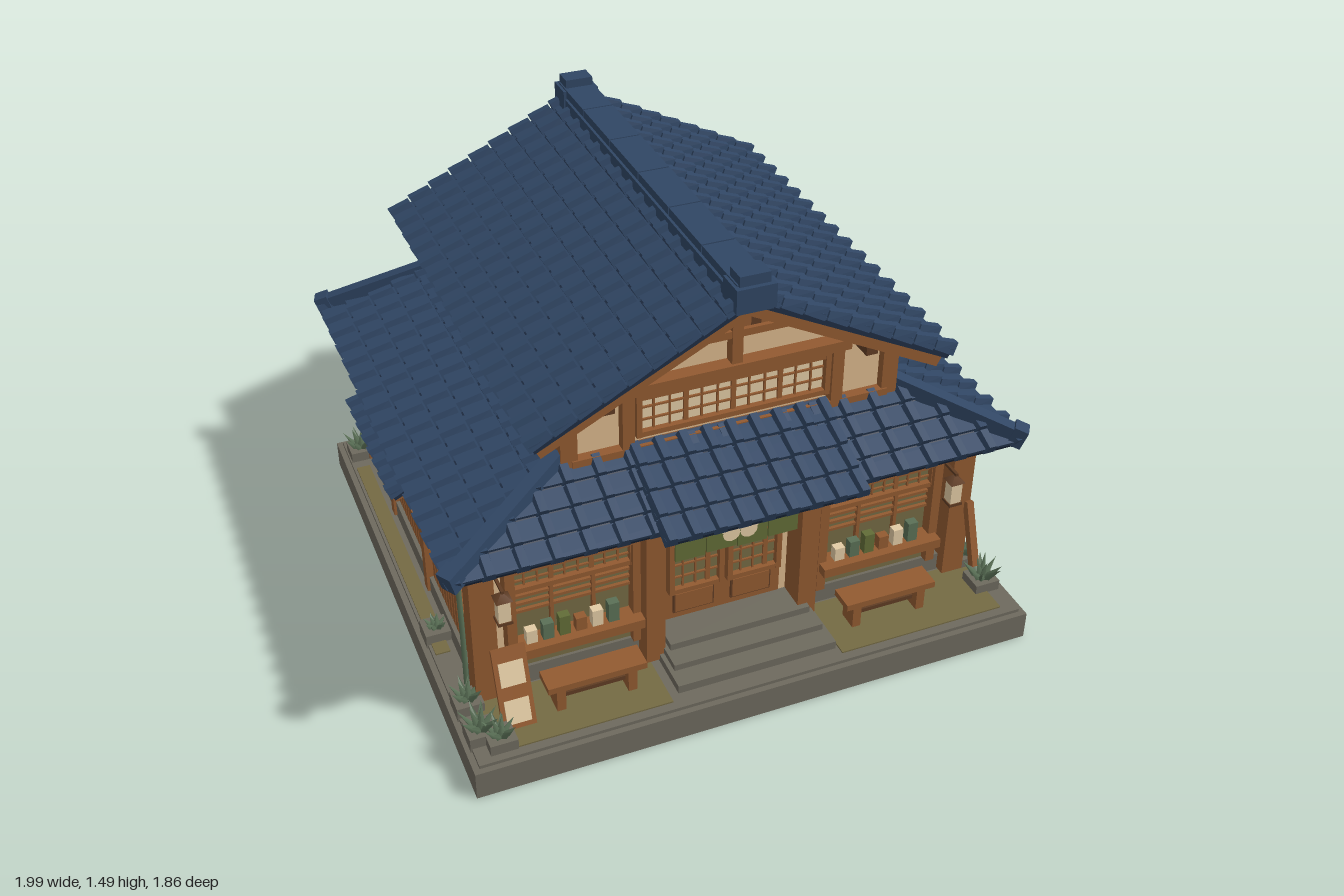
import * as THREE from 'three';
import { mergeGeometries } from 'three/addons/utils/BufferGeometryUtils.js';

const mat = (name, color) => Object.assign(new THREE.MeshStandardMaterial({ color }), { name });
const tile = mat('roof tile', 0x304664), shade = mat('tile shadow', 0x1e2c42), wood = mat('wood', 0x925a31),
  dark = mat('dark wood', 0x5f3c23), plaster = mat('plaster', 0xdab88c), paper = mat('paper', 0xe2cba4),
  stone = mat('stone', 0x6e6a5e), moss = mat('moss', 0x746a43), leaf = mat('leaf', 0x5a7056), cloth = mat('cloth', 0x626d37);

const V3 = (x, y, z) => new THREE.Vector3(x, y, z);

function add(g, name, m, geo) {
  const mesh = new THREE.Mesh(geo, m);
  mesh.name = name;
  g.add(mesh);
  return mesh;
}
// Box given by its limits
function box(g, name, m, x0, x1, y0, y1, z0, z1) {
  const mesh = add(g, name, m, new THREE.BoxGeometry(Math.abs(x1 - x0), Math.abs(y1 - y0), Math.abs(z1 - z0)));
  mesh.position.set((x0 + x1) / 2, (y0 + y1) / 2, (z0 + z1) / 2);
}
// Square beam between two points
function beam(g, name, m, a, b, w, h) {
  const mesh = add(g, name, m, new THREE.BoxGeometry(w, h, a.distanceTo(b)));
  mesh.position.copy(a).lerp(b, 0.5);
  mesh.quaternion.setFromRotationMatrix(new THREE.Matrix4().lookAt(b, a, V3(0, 1, 0)));
}
// Six-sided solid from four lower and four upper corners
function hex(b, t) {
  const quads = [t, [b[3], b[2], b[1], b[0]]];
  for (let i = 0; i < 4; i++) { const j = (i + 1) % 4; quads.push([b[i], b[j], t[j], t[i]]); }
  const pts = quads.flatMap(([p, q, r, s]) => [p, q, r, p, r, s]);
  const geo = new THREE.BufferGeometry().setFromPoints(pts);
  geo.computeVertexNormals();
  return geo;
}

// Tiled slope: eave starts at o, runs L along u, rises by v; in0 and in1 cut the ends for hips
function roof(parent, name, o, u, L, v, in0, in1, courses, gap = 0.106) {
  const g = new THREE.Group();
  g.name = name;
  parent.add(g);
  const n = u.clone().cross(v).normalize();
  const P = (s, t, h) => o.clone().addScaledVector(u, s).addScaledVector(v, t).addScaledVector(n, h);
  const slab = (t0, t1, b, hLow, hTop, e = 0) => {
    const c = [[in0 * t0 + e, t0], [L - in1 * t0 - e, t0], [L - in1 * t1 - e, t1], [in0 * t1 + e, t1]];
    return hex(c.map(([s, t]) => P(s, t, b)), c.map(([s, t], i) => P(s, t, i < 2 ? hLow : hTop)));
  };
  add(g, 'underlay', shade, slab(0.005, 1, -0.02, 0.002, 0.002, 0.004));
  add(g, 'soffit', wood, slab(0.03, 1, -0.035, -0.02, -0.02, 0.015));
  const parts = [], step = 1 / courses, len = v.length();
  for (let j = 0; j < courses; j++) parts.push(slab(j * step, (j + 1) * step - 0.006 / len, 0, 0.018, 0.006));
  // Cover tiles running down the slope, clipped at the hips
  const count = Math.max(2, Math.round(L / gap));
  for (let i = 0; i <= count; i++) {
    const s = 0.018 + (L - 0.036) * i / count;
    const top = Math.min(1, in0 > 0 ? s / in0 : 1, in1 > 0 ? (L - s) / in1 : 1);
    for (let j = 0; j < courses && j * step < top; j++) {
      const t0 = j * step - 0.006 / len, t1 = Math.min(top, (j + 1) * step - 0.012 / len);
      if (t1 - t0 < 0.02) continue;
      const ring = (w, h0, h1) => [P(s - w, t0, h0), P(s + w, t0, h0), P(s + w, t1, h1), P(s - w, t1, h1)];
      parts.push(hex(ring(0.021, -0.004, 0), ring(0.013, 0.04, 0.03)));
    }
  }
  add(g, 'tiles', tile, mergeGeometries(parts));
}

// Barred window on a wall lying in the local xy plane
function lattice(g, name, x0, x1, y0, y1, nx, ny, pane = paper, f = 0.018) {
  const w = new THREE.Group();
  w.name = name;
  g.add(w);
  box(w, 'pane', pane, x0, x1, y0, y1, 0.003, 0.012);
  for (const x of [x0, x1]) box(w, 'jamb', wood, x - f / 2, x + f / 2, y0 - f / 2, y1 + f / 2, 0, 0.035);
  for (const y of [y0, y1]) box(w, 'rail', wood, x0, x1, y - f / 2, y + f / 2, 0, 0.033);
  for (let i = 1; i < nx; i++) {
    const x = x0 + (x1 - x0) * i / nx, b = i % 3 ? 0.003 : 0.008;
    box(w, 'bar', wood, x - b, x + b, y0, y1, 0, 0.02);
  }
  for (let i = 1; i < ny; i++) {
    const y = y0 + (y1 - y0) * i / ny;
    box(w, 'cross bar', wood, x0, x1, y - 0.003, y + 0.003, 0, 0.019);
  }
}
function wainscot(g, x0, x1, y0, y1) {
  box(g, 'wainscot', dark, x0, x1, y0, y1, 0, 0.01);
  const n = Math.round(Math.abs(x1 - x0) / 0.035);
  for (let i = 0; i < n; i++) {
    const x = x0 + (x1 - x0) * (i + 0.5) / n;
    box(g, 'board', wood, x - 0.013, x + 0.013, y0, y1, 0, 0.016);
  }
  box(g, 'wainscot rail', wood, x0, x1, y1 - 0.01, y1 + 0.012, 0, 0.026);
}
function wallFace(parent, name, x, z, angle) {
  const g = new THREE.Group();
  g.name = name;
  g.position.set(x, 0, z);
  g.rotation.y = angle;
  parent.add(g);
  return g;
}
function plant(parent, x, z, size) {
  const g = new THREE.Group();
  g.name = 'plant';
  g.position.set(x, 0.13, z);
  for (let i = 0; i < 11; i++) {
    const c = new THREE.ConeGeometry(0.02, size * (0.8 + 0.3 * (i % 3) / 2), 4);
    c.translate(0, size * 0.42, 0).rotateX(i < 3 ? 0.25 : 0.7).rotateY(i * 2.4);
    add(g, 'leaf', leaf, c);
  }
  parent.add(g);
}

function gable(g) {
  // Local x is measured from the ridge
  for (const s of [-1, 1]) {
    box(g, 'corner post', wood, s * 0.52, s * 0.575, 0.82, 1.09, -0.03, 0.03);
    beam(g, 'barge board', wood, V3(s * 0.675, 1.01, 0.1), V3(0, 1.355, 0.1), 0.03, 0.05);
    beam(g, 'gable rafter', wood, V3(s * 0.5, 1.08, 0.015), V3(0, 1.335, 0.015), 0.03, 0.04);
    box(g, 'window post', wood, s * 0.335, s * 0.375, 0.86, 1.1, 0, 0.035);
    box(g, 'purlin end', dark, s * 0.42, s * 0.46, 1.07, 1.11, 0, 0.09);
  }
  box(g, 'tie beam', wood, -0.39, 0.39, 1.08, 1.115, 0, 0.05);
  box(g, 'sill beam', wood, -0.54, 0.54, 0.845, 0.885, 0, 0.035);
  box(g, 'collar beam', wood, -0.2, 0.2, 1.205, 1.23, 0, 0.035);
  box(g, 'king post', wood, -0.018, 0.018, 1.11, 1.36, 0, 0.04);
  for (let i = -5; i <= 5; i++) box(g, 'gable slat', i % 2 ? wood : dark, i * 0.034 - 0.017, i * 0.034 + 0.017, 1.22, 1.34 - Math.abs(i) * 0.017, 0, 0.02);
  lattice(g, 'upper window', -0.32, 0.32, 0.925, 1.06, 12, 3);
}

export function createModel() {
  const model = new THREE.Group();
  model.name = 'shop house';
  const cx = 0.04;

  // Ground and plinth
  box(model, 'base slab', stone, -0.97, 0.975, 0, 0.1, -0.91, 0.94);
  box(model, 'base top', stone, -0.95, 0.955, 0.1, 0.112, -0.89, 0.92);
  box(model, 'plinth', stone, -0.87, 0.87, 0.1, 0.18, -0.8, 0.63);
  for (const s of [-1, 1]) {
    box(model, 'front moss', moss, s * 0.3, s * 0.9, 0.112, 0.117, 0.64, 0.89);
    box(model, 'side moss', moss, s * 0.89, s * 0.94, 0.112, 0.117, -0.7, 0.4);
  }
  box(model, 'back moss', moss, -0.7, 0.5, 0.112, 0.117, -0.87, -0.82);
  [[0.1, 0.142, 0.86], [0.142, 0.165, 0.79], [0.165, 0.19, 0.72]].forEach(([a, b, z], i) => box(model, 'step', stone, -0.27 + i * 0.015, 0.29 - i * 0.015, a, b, 0.6, z));

  // Wall blocks
  box(model, 'lower walls', plaster, -0.84, 0.84, 0.16, 0.71, -0.77, 0.6);
  const five = new THREE.Shape([[-0.54, 0.72], [0.54, 0.72], [0.54, 1.09], [0, 1.355], [-0.54, 1.09]].map(p => new THREE.Vector2(...p)));
  add(model, 'upper walls', plaster, new THREE.ExtrudeGeometry(five, { depth: 1.28, bevelEnabled: false })).position.set(cx, 0, -0.755);
  gable(wallFace(model, 'front gable', cx, 0.525, 0));
  gable(wallFace(model, 'back gable', cx, -0.755, Math.PI));

  // Side walls
  for (const s of [-1, 1]) {
    const side = wallFace(model, 'side wall', s * 0.84, 0, s * Math.PI / 2);
    const r = (fn, a, b, ...rest) => fn(-s * (s > 0 ? a : b), -s * (s > 0 ? b : a), ...rest);
    for (const [z, w] of [[0.63, 0.075], [0.07, 0.04], [-0.38, 0.04], [-0.765, 0.06]])
      box(side, 'post', wood, -s * (z - w / 2), -s * (z + w / 2), 0.12, 0.7, -0.04, 0.04);
    box(side, 'top beam', wood, -s * 0.66, s * 0.78, 0.675, 0.705, 0, 0.035);
    r((a, b) => wainscot(side, a, b, 0.18, 0.365), 0.6, 0.09);
    r((a, b) => wainscot(side, a, b, 0.18, 0.295), 0.05, -0.36);
    r((a, b) => wainscot(side, a, b, 0.18, 0.365), -0.4, -0.74);
    r((a, b) => lattice(side, 'side window', a, b, 0.405, 0.56, 12, 4), 0.03, -0.36);
    box(side, 'window mullion', wood, s * 0.151, s * 0.179, 0.4, 0.56, 0, 0.03);
    box(side, 'shutter box', wood, -s * 0.18, -s * 0.09, 0.445, 0.565, 0, 0.06);
    const awning = s > 0 ? V3(0.97, 0.565, 0.11) : V3(-0.97, 0.565, -0.46);
    roof(model, 'awning', awning, V3(0, 0, -s), 0.57, V3(-s * 0.13, 0.06, 0), 0, 0, 2, 0.08);
    for (const z of [0.07, -0.42]) beam(model, 'awning bracket', wood, V3(s * 0.85, 0.5, z), V3(s * 0.94, 0.56, z), 0.02, 0.02);

    const up = wallFace(model, 'upper side wall', cx + s * 0.54, 0, s * Math.PI / 2);
    for (const z of [0.35, 0.07, -0.16, -0.37, -0.62]) box(up, 'upper post', wood, -s * z - 0.018, -s * z + 0.018, 0.82, 1.1, 0, 0.025);
    box(up, 'upper beam', wood, -s * 0.54, s * 0.77, 1.005, 1.04, 0, 0.03);
    box(up, 'lower beam', wood, -s * 0.54, s * 0.77, 0.84, 0.88, 0, 0.025);
    r((a, b) => lattice(up, 'small window', a, b, 0.9, 0.995, 6, 3), 0.32, 0.1);
    r((a, b) => lattice(up, 'small window', a, b, 0.9, 0.995, 6, 3), -0.395, -0.595);
  }

  // Back wall
  const back = wallFace(model, 'back wall', 0, -0.77, Math.PI);
  for (const x of [-0.82, -0.28, 0.28, 0.82]) box(back, 'back post', wood, x - 0.022, x + 0.022, 0.12, 0.7, 0, 0.035);
  for (const x of [-0.8, -0.26, 0.3]) wainscot(back, x, x + 0.5, 0.18, 0.345);
  box(back, 'back beam', wood, -0.84, 0.84, 0.67, 0.705, 0, 0.035);

  // Shop front
  const front = wallFace(model, 'shop front', 0, 0.6, 0);
  const pipe = (name, pts) => add(model, name, leaf, new THREE.TubeGeometry(new THREE.CatmullRomCurve3(pts), 16, 0.009, 6));
  box(front, 'front beam', wood, -0.87, 0.87, 0.67, 0.705, 0, 0.075);
  for (const s of [-1, 1]) {
    const c = s * 0.54 + 0.005;
    box(front, 'porch post', wood, s * 0.27 - 0.045, s * 0.27 + 0.02, 0.12, 0.7, 0, 0.1);
    box(front, 'shop back', moss, c - 0.2, c + 0.2, 0.29, 0.5, 0.002, 0.008);
    lattice(front, 'shop transom', c - 0.2, c + 0.2, 0.5, 0.585, 9, 3, moss);
    for (const x of [-0.21, 0.21]) box(front, 'shop jamb', wood, c + x - 0.016, c + x + 0.016, 0.18, 0.66, 0, 0.05);
    for (const y of [0.4, 0.43, 0.46]) box(front, 'shop slat', wood, c - 0.2, c + 0.2, y, y + 0.01, 0, 0.02);
    for (const x of [-0.07, 0.07]) box(front, 'shop mullion', wood, c + x - 0.006, c + x + 0.006, 0.3, 0.5, 0, 0.025);
    box(front, 'lintel', wood, c - 0.22, c + 0.22, 0.585, 0.61, 0, 0.05);
    box(front, 'counter', wood, c - 0.22, c + 0.22, 0.265, 0.3, 0, 0.09);
    box(front, 'panel below counter', moss, c - 0.2, c + 0.2, 0.18, 0.265, 0, 0.02);
    for (let i = 0; i < 6; i++) {
      const x = c - 0.15 + i * 0.055;
      box(front, 'goods', [paper, leaf, cloth, wood][i % 4], x - 0.018, x + 0.018, 0.3, 0.35 + 0.012 * (i % 3), 0.03, 0.06);
    }
    // Bench
    const bench = wallFace(model, 'bench', s * 0.52, 0.76, 0);
    box(bench, 'bench seat', wood, -0.165, 0.165, 0.205, 0.228, -0.045, 0.045);
    for (const x of [-0.12, 0.12]) box(bench, 'bench leg', wood, x - 0.015, x + 0.015, 0.11, 0.205, -0.035, 0.035);
    box(bench, 'bench rail', dark, -0.12, 0.12, 0.145, 0.16, -0.008, 0.008);
    // Lantern
    const lamp = wallFace(model, 'lantern', s * 0.785, 0.7, 0);
    box(lamp, 'lantern body', paper, -0.02, 0.02, 0.47, 0.55, -0.02, 0.02);
    box(lamp, 'lantern base', dark, -0.024, 0.024, 0.46, 0.47, -0.024, 0.024);
    add(lamp, 'lantern cap', dark, new THREE.ConeGeometry(0.038, 0.028, 4).rotateY(Math.PI / 4)).position.y = 0.564;
    box(lamp, 'lantern arm', dark, -0.005, 0.005, 0.575, 0.585, -0.08, 0.01);
    pipe('lower drain', [V3(s * 0.93, 0.69, 0.7), V3(s * 0.92, 0.65, 0.67), V3(s * 0.885, 0.63, 0.6), V3(s * 0.885, 0.58, 0.57), V3(s * 0.885, 0.35, 0.57), V3(s * 0.885, 0.12, 0.57)]);
  }
  pipe('upper drain', [V3(0.68, 1.03, 0.45), V3(0.68, 0.98, 0.45), V3(0.625, 0.96, 0.45), V3(0.61, 0.87, 0.45)]);

  // Door and curtain
  box(front, 'door panel', wood, -0.22, 0.2, 0.19, 0.66, -0.01, 0.002);
  for (const x of [-0.21, -0.005]) {
    lattice(front, 'door lattice', x + 0.01, x + 0.185, 0.325, 0.52, 4, 4, moss);
    box(front, 'door lower panel', dark, x + 0.025, x + 0.17, 0.215, 0.3, 0.001, 0.008);
    box(front, 'door inset', wood, x + 0.031, x + 0.164, 0.221, 0.294, 0.004, 0.012);
  }
  for (let i = 0; i < 4; i++) box(front, 'curtain flap', cloth, -0.22 + i * 0.107, -0.117 + i * 0.107, 0.52 + (i % 2) * 0.006, 0.66, 0.1, 0.107);
  box(front, 'curtain top', cloth, -0.22, 0.205, 0.6, 0.675, 0.099, 0.108);
  for (let i = 0; i < 4; i++) {
    const petal = add(front, 'curtain blossom', paper, new THREE.CircleGeometry(i < 2 ? 0.038 : 0.03, 12));
    petal.position.set((i % 2 ? 0.03 : -0.03), i < 2 ? 0.61 : 0.58, 0.1095 + i * 0.0003);
  }
  // Leaning notice board
  beam(model, 'notice board', wood, V3(-0.785, 0.115, 0.81), V3(-0.785, 0.37, 0.72), 0.11, 0.015);
  for (const y of [0.17, 0.29]) beam(model, 'notice sheet', paper, V3(-0.785, y - 0.035, 0.819 - (y - 0.15) * 0.353), V3(-0.785, y + 0.04, 0.819 - (y - 0.075) * 0.353), 0.08, 0.008);
  beam(model, 'side brace', wood, V3(0.87, 0.2, 0.75), V3(0.87, 0.42, 0.67), 0.025, 0.03);

  // Lower skirt roof, all four slopes
  const X = 0.965, y = 0.715, zf = 0.785, zb = -0.89, iL = -0.53, iR = 0.605, iF = 0.52, iB = -0.76, rise = 0.155;
  const D = zf - zb;
  roof(model, 'front skirt roof', V3(-X, y, zf), V3(1, 0, 0), 2 * X, V3(0, rise, iF - zf), iL + X, X - iR, 4);
  roof(model, 'back skirt roof', V3(X, y, zb), V3(-1, 0, 0), 2 * X, V3(0, rise, iB - zb), X - iR, iL + X, 3);
  roof(model, 'right skirt roof', V3(X, y, zf), V3(0, 0, -1), D, V3(iR - X, rise, 0), zf - iF, iB - zb, 5);
  roof(model, 'left skirt roof', V3(-X, y, zb), V3(0, 0, 1), D, V3(iL + X, rise, 0), iB - zb, zf - iF, 5);
  for (const [x, ix] of [[-X, iL], [X, iR]]) for (const [z, iz] of [[zf, iF], [zb, iB]]) {
    const a = V3(x, y + 0.025, z), b = V3(ix, y + rise + 0.025, iz);
    beam(model, 'hip ridge', tile, a, b, 0.045, 0.05);
    beam(model, 'hip end', tile, a.clone().lerp(b, -0.02), a.clone().lerp(b, 0.08), 0.055, 0.07);
  }
  roof(model, 'entrance canopy', V3(-0.315, 0.73, 0.855), V3(1, 0, 0), 0.68, V3(0, 0.155, -0.325), 0, 0, 4, 0.085);
  for (let i = 0; i < 14; i++) box(model, 'eave rafter', wood, -0.8 + i * 0.123, -0.775 + i * 0.123, 0.675, 0.7, 0.6, 0.74);

  // Upper roof and ridge
  const zA = 0.665, zB = -0.905;
  roof(model, 'right main roof', V3(cx + 0.7, 1.04, zA), V3(0, 0, -1), zA - zB, V3(-0.7, 0.355, 0), 0, 0, 9);
  roof(model, 'left main roof', V3(cx - 0.7, 1.04, zB), V3(0, 0, 1), zA - zB, V3(0.7, 0.355, 0), 0, 0, 9);
  box(model, 'ridge base', tile, cx - 0.06, cx + 0.06, 1.36, 1.42, zB - 0.01, zA + 0.01);
  box(model, 'ridge line', shade, cx - 0.05, cx + 0.05, 1.415, 1.428, zB, zA);
  for (let i = 0; i < 6; i++) {
    const d = (zA - zB) / 6;
    box(model, 'ridge cap', tile, cx - 0.055, cx + 0.055, 1.426, 1.455, zB + i * d + 0.003, zB + (i + 1) * d - 0.003);
  }
  for (const z of [0.635, -0.87]) {
    box(model, 'ridge end', tile, cx - 0.065, cx + 0.065, 1.37, 1.45, z - 0.05, z + 0.05);
    box(model, 'ridge end cap', tile, cx - 0.05, cx + 0.05, 1.45, 1.485, z - 0.035, z + 0.035);
  }

  // Planting and edging stones
  for (const [x, z, s] of [[-0.91, 0.8, 0.12], [-0.86, 0.85, 0.1], [-0.91, 0.66, 0.1], [0.9, 0.76, 0.12], [0.9, 0.62, 0.1], [0.91, 0.5, 0.1],
    [0.9, -0.76, 0.11], [0.88, -0.82, 0.1], [-0.9, -0.79, 0.11], [-0.4, -0.85, 0.07], [-0.91, 0.3, 0.07]]) {
    plant(model, x, z, s);
    box(model, 'edging stone', stone, x - 0.045, x + 0.045, 0.1, 0.15, z - 0.045, z + 0.045);
  }
  return model;
}
